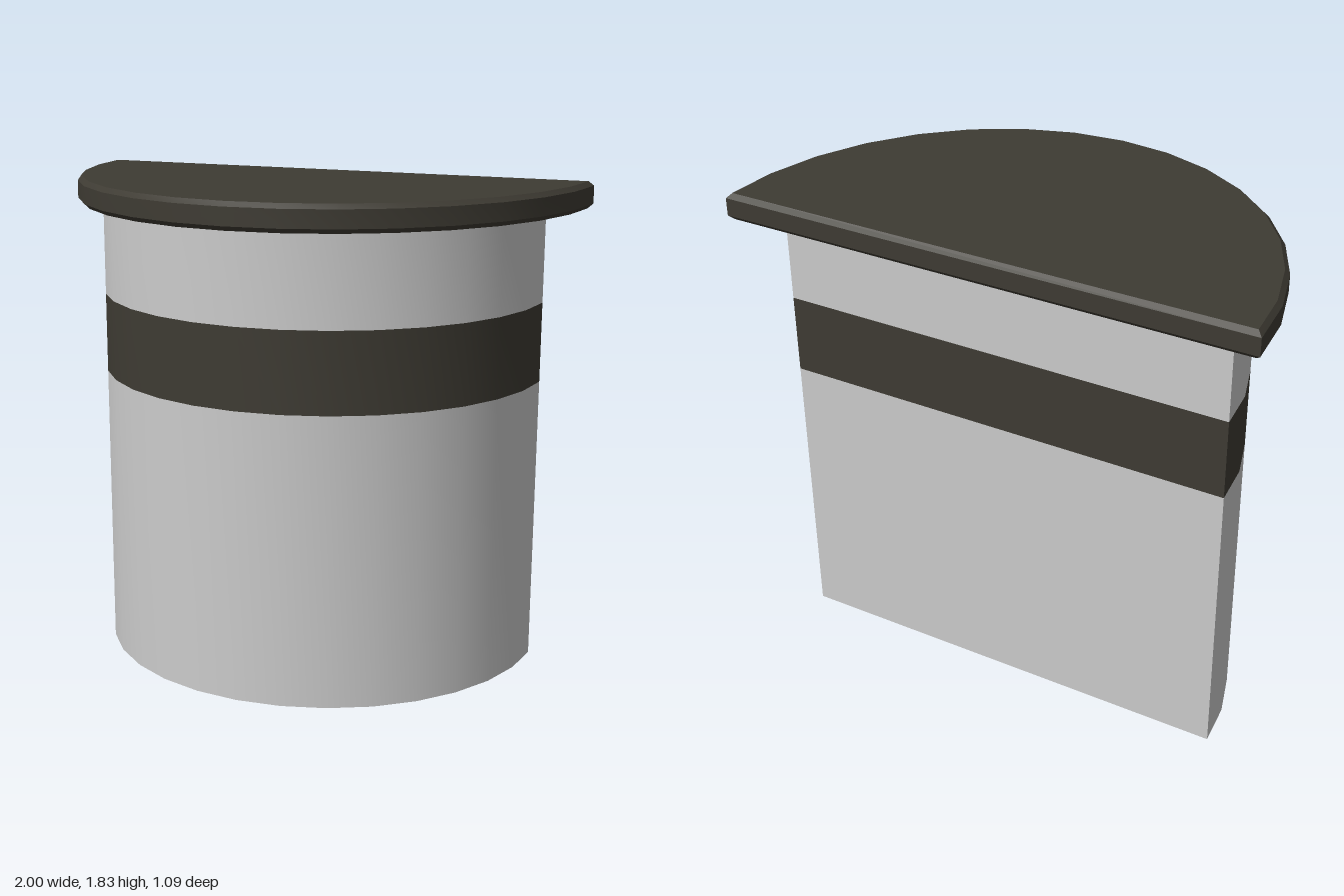
import * as THREE from 'three';
import { toCreasedNormals } from 'three/addons/utils/BufferGeometryUtils.js';

const SEGMENTS = 16;

// Half-disc outline: flat back at zBack, curving forward by depth
function halfDisc(halfWidth, depth, zBack) {
  const points = [];
  for (let i = 0; i <= SEGMENTS; i++) {
    const a = (i / SEGMENTS) * Math.PI;
    points.push(new THREE.Vector2(-halfWidth * Math.cos(a), -zBack - depth * Math.sin(a)));
  }
  return new THREE.Shape(points);
}

// Upright slab from y0 to y1, with an optional chamfer inside the outline
function slab(name, shape, y0, y1, material, chamfer = 0) {
  const extruded = new THREE.ExtrudeGeometry(shape, {
    depth: y1 - y0 - 2 * chamfer,
    bevelEnabled: chamfer > 0,
    bevelThickness: chamfer,
    bevelSize: chamfer,
    bevelOffset: -chamfer,
    bevelSegments: 1,
  });
  extruded.rotateX(-Math.PI / 2);
  extruded.translate(0, y0 + chamfer, 0);
  const mesh = new THREE.Mesh(toCreasedNormals(extruded, 0.5), material);
  mesh.name = name;
  return mesh;
}

export function createModel() {
  const group = new THREE.Group();
  group.name = 'halfRoundCounter';
  const grey = new THREE.MeshStandardMaterial({ color: 0xcccccc });
  const dark = new THREE.MeshStandardMaterial({ color: 0x3e3b33 });

  // Pedestal with a flush dark band
  const body = halfDisc(0.86, 0.86, -0.405);
  group.add(slab('lowerBody', body, 0, 1.09, grey));
  group.add(slab('band', body, 1.09, 1.39, dark));
  group.add(slab('upperBody', body, 1.39, 1.73, grey));

  // Overhanging chamfered top
  group.add(slab('counterTop', halfDisc(1, 1.085, -0.545), 1.73, 1.83, dark, 0.017));
  return group;
}
